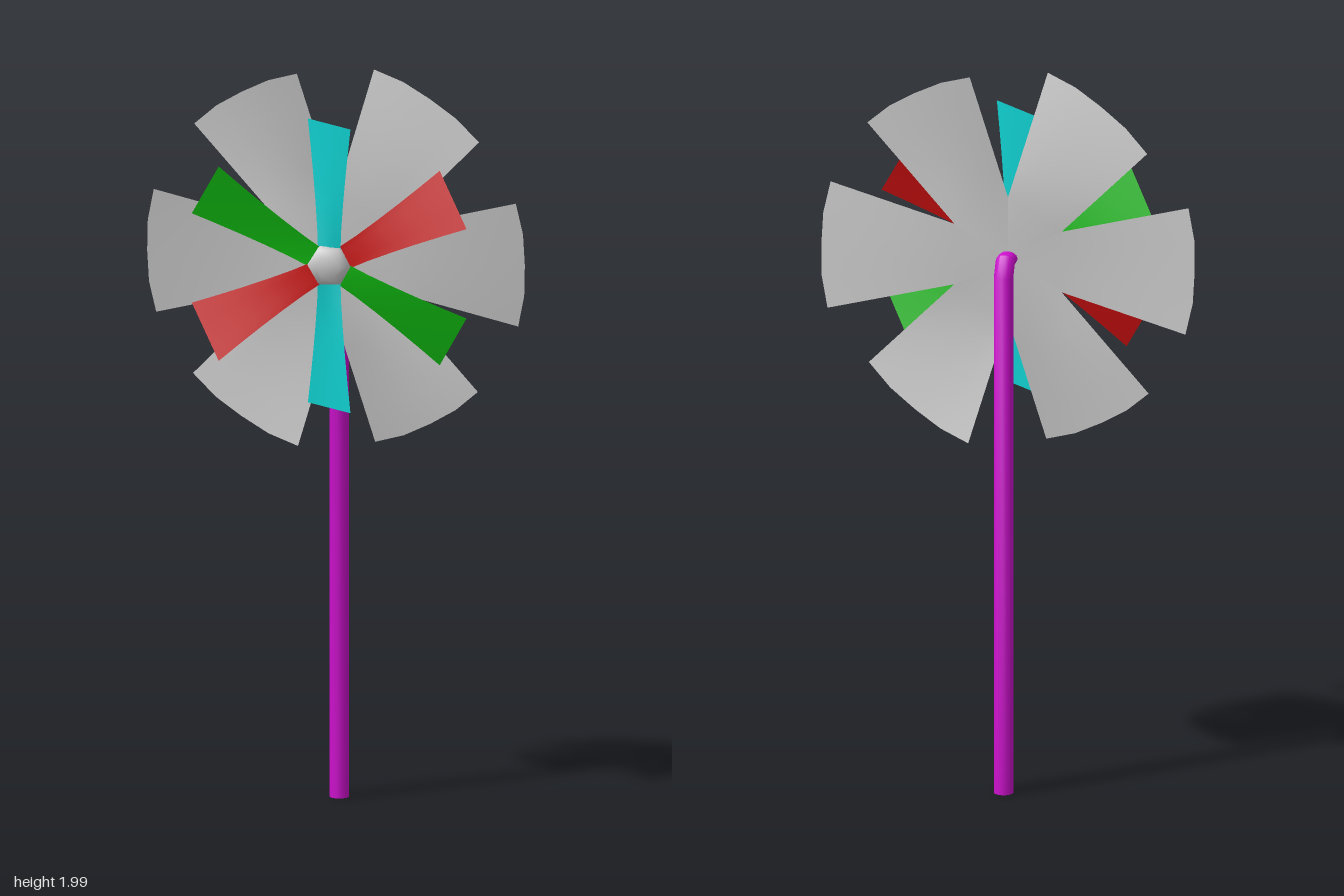
import * as THREE from 'three';
import { toCreasedNormals } from 'three/addons/utils/BufferGeometryUtils.js';

const AXIS_Y = 1.484;
const lerp = THREE.MathUtils.lerp;
const material = (color, side = THREE.FrontSide) =>
  new THREE.MeshStandardMaterial({ color, side });

// Surface through rows of points, each row having the same number of points
function loft(rows) {
  const n = rows[0].length;
  const index = [];
  for (let i = 0; i < rows.length - 1; i++) {
    for (let j = 0; j < n - 1; j++) {
      const a = i * n + j, b = a + 1, c = a + n, d = c + 1;
      index.push(a, b, c, b, d, c);
    }
  }
  const g = new THREE.BufferGeometry();
  g.setAttribute('position', new THREE.Float32BufferAttribute(rows.flat(2), 3));
  g.setIndex(index);
  g.computeVertexNormals();
  return g;
}

// Blade around the z axis at an angle; point(s, t) gives [along, across, z]
function bladeGeometry(angle, ts, point) {
  const c = Math.cos(angle), sn = Math.sin(angle);
  const rows = ts.map((t) => [1, 0.5, 0, -0.5, -1].map((s) => {
    const [along, across, z] = point(s, t);
    return [along * c - across * sn, along * sn + across * c, z];
  }));
  return loft(rows);
}

// Wide rear sail: a flat sector near the axis, then a twisted blade
function sailGeometry(angle) {
  const twist = 0.0175 * Math.cos(angle) - 0.0505 * Math.sin(angle);
  const spread = THREE.MathUtils.degToRad(19.3);
  return bladeGeometry(angle, [-1, 0, 0.25, 0.5, 0.75, 1], (s, t) => {
    const base = [0.147, 0.085 * s];
    if (t < 0) return [0, 0, 0];
    const r = 0.512 + 0.008 * Math.abs(s);
    const tip = [r * Math.cos(spread * s), r * Math.sin(spread * s)];
    return [lerp(base[0], tip[0], t), lerp(base[1], tip[1], t), twist * s * t];
  });
}

// Narrow front petal, flaring and twisting towards the tip
function petalGeometry(angle) {
  const twist = -0.055 * Math.sin(angle);
  const tipHalf = Math.sqrt(0.0874 ** 2 - twist ** 2);
  return bladeGeometry(angle, [0, 0.2, 0.4, 0.6, 0.8, 1], (s, t) => [
    lerp(0.03, 0.388, t),
    s * lerp(0.03, tipHalf, t ** 1.3),
    s * t * twist,
  ]);
}

// Upright stick bent forward at the top, with closed ends
function stickGeometry() {
  const R = 0.0265, SIDES = 12;
  // y, z, half width in x, half depth vector (y, z)
  const rings = [
    [0, -0.09, 0, 0, 0],
    [0, -0.09, R, 0, -R],
    [1.447, -0.09, R, 0, -R],
    [1.484, -0.07, R, 0.019, -0.006],
    [1.484, 0.06, R, 0.019, 0],
    [1.484, 0.06, 0, 0, 0],
  ];
  const rows = rings.map(([y, z, rx, uy, uz]) =>
    Array.from({ length: SIDES + 1 }, (_, j) => {
      const a = ((j % SIDES) / SIDES) * Math.PI * 2;
      return [rx * Math.cos(a), y + uy * Math.sin(a), z + uz * Math.sin(a)];
    }));
  return toCreasedNormals(loft(rows), 0.9);
}

export function createModel() {
  const model = new THREE.Group();
  const add = (parent, name, geometry, mat) => {
    const mesh = new THREE.Mesh(geometry, mat);
    mesh.name = name;
    parent.add(mesh);
    return mesh;
  };

  add(model, 'stick', stickGeometry(), material(0xcc10cc));

  const rearRotor = new THREE.Group();
  rearRotor.name = 'rearRotor';
  rearRotor.position.set(0, AXIS_Y, -0.04);
  const frontRotor = new THREE.Group();
  frontRotor.name = 'frontRotor';
  frontRotor.position.set(0, AXIS_Y, 0.06);
  model.add(rearRotor, frontRotor);

  // Six grey sails behind, six coloured petals in front
  const grey = material(0xcccccc, THREE.DoubleSide);
  const colors = [0xcc1010, 0x10cccc, 0x10b810].map((c) => material(c, THREE.DoubleSide));
  for (let i = 0; i < 6; i++) {
    const angle = (i * Math.PI) / 3;
    add(rearRotor, 'sail', sailGeometry(angle), grey);
    add(frontRotor, 'petal', petalGeometry(angle + Math.PI / 6), colors[i % 3]);
  }

  // Six-sided domed hub cap
  const profile = [[0, -0.006], [0.061, -0.004], [0.052, 0.012], [0.032, 0.022], [0, 0.026]]
    .map(([x, y]) => new THREE.Vector2(x, y));
  const hub = new THREE.LatheGeometry(profile, 6, Math.PI / 2).rotateX(Math.PI / 2);
  add(frontRotor, 'hubCap', toCreasedNormals(hub, 1.1), material(0xcccccc));

  return model;
}
